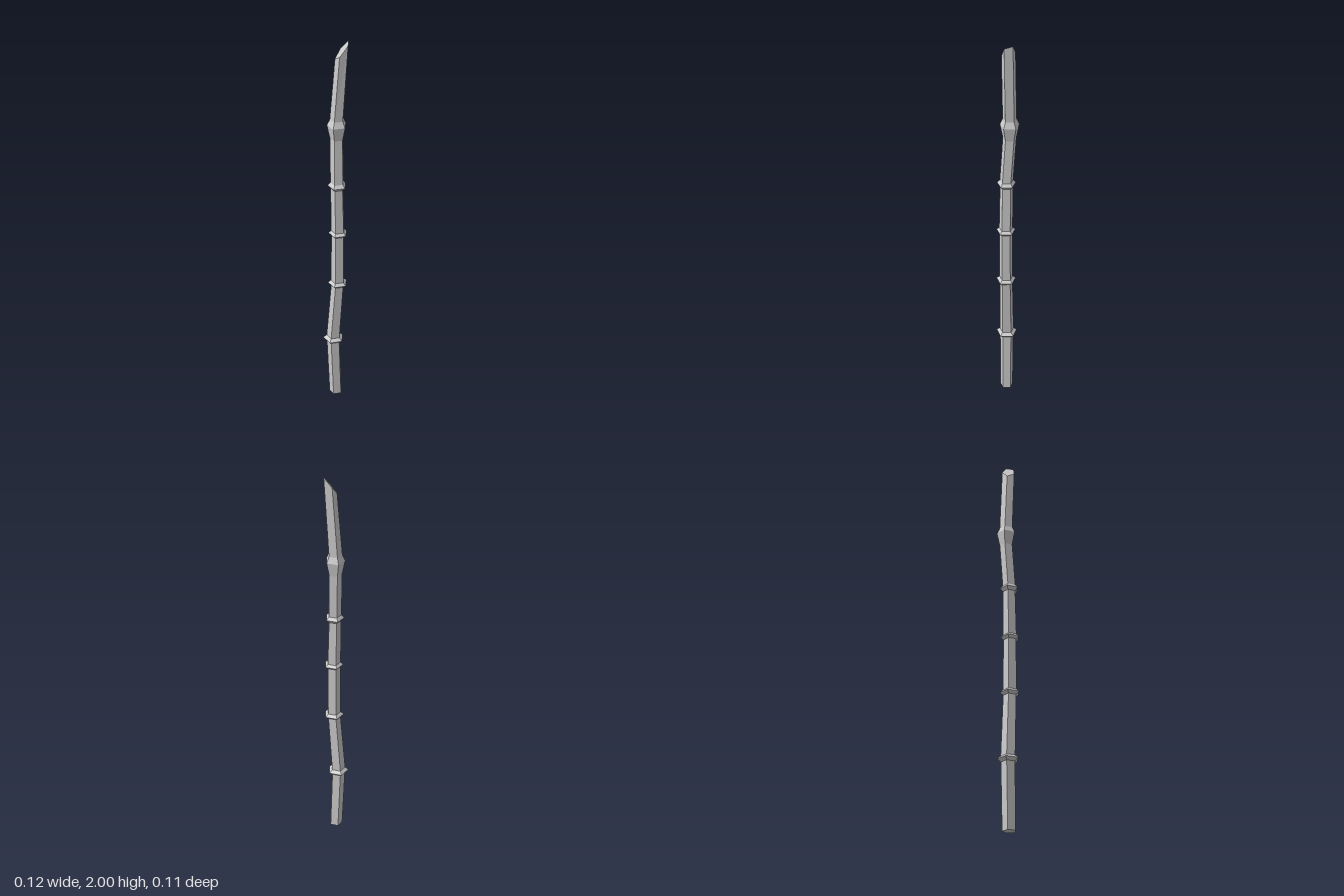
import * as THREE from 'three';

const SIDES = 5;
const TURN = THREE.MathUtils.degToRad(-23);

// Corners of one five-sided cross-section
function section(x, y, z, r) {
  return Array.from({ length: SIDES }, (_, i) => {
    const a = TURN + (i / SIDES) * Math.PI * 2;
    return new THREE.Vector3(x + r * Math.cos(a), y, z + r * Math.sin(a));
  });
}

// Skin a closed, faceted solid over a stack of cross-sections
function loft(sections) {
  const pos = [];
  const tri = (...pts) => pts.forEach((p) => pos.push(p.x, p.y, p.z));
  const last = sections.length - 1;
  for (let s = 0; s < last; s++) {
    const a = sections[s], b = sections[s + 1];
    for (let i = 0; i < SIDES; i++) {
      const j = (i + 1) % SIDES;
      tri(a[i], b[i], a[j]);
      tri(a[j], b[i], b[j]);
    }
  }
  const bottom = sections[0], top = sections[last];
  for (let i = 1; i < SIDES - 1; i++) {
    tri(bottom[0], bottom[i], bottom[i + 1]);
    tri(top[0], top[i + 1], top[i]);
  }
  const geo = new THREE.BufferGeometry();
  geo.setAttribute('position', new THREE.Float32BufferAttribute(pos, 3));
  geo.computeVertexNormals();
  return geo;
}

export function createModel() {
  const group = new THREE.Group();
  group.name = 'bambooStalk';
  const material = new THREE.MeshStandardMaterial({ color: 0xcccccc, flatShading: true });

  // Joints: centre, ridge radius, stalk radius, reach of the ridge below and above
  const joints = [
    { x: -0.011, y: 0.347, z: 0.004, ridge: 0.055, r: 0.036, below: 0.015, above: 0.015 },
    { x: 0.009, y: 0.693, z: 0.012, ridge: 0.051, r: 0.034, below: 0.014, above: 0.014 },
    { x: 0.010, y: 0.988, z: 0.013, ridge: 0.049, r: 0.034, below: 0.013, above: 0.013 },
    { x: 0.006, y: 1.255, z: 0.009, ridge: 0.048, r: 0.033, below: 0.016, above: 0.016 },
    { x: 0.007, y: 1.572, z: -0.006, ridge: 0.049, r: 0.034, below: 0.07, above: 0.03 },
  ];

  // Bent stalk with a pointed ridge at every joint
  const sections = [section(0, 0, 0.008, 0.034)];
  for (const j of joints) {
    sections.push(
      section(j.x, j.y - j.below, j.z, j.r),
      section(j.x, j.y, j.z, j.ridge),
      section(j.x, j.y + j.above, j.z, j.r + 0.001),
    );
  }

  // Slanted cut at the tip, rising towards +x
  const tip = section(0.029, 0, 0.005, 0.034);
  const minX = Math.min(...tip.map((p) => p.x));
  const maxX = Math.max(...tip.map((p) => p.x));
  tip.forEach((p) => { p.y = 1.915 + 0.085 * (p.x - minX) / (maxX - minX); });
  sections.push(tip);

  const stalk = new THREE.Mesh(loft(sections), material);
  stalk.name = 'stalk';
  group.add(stalk);
  return group;
}
